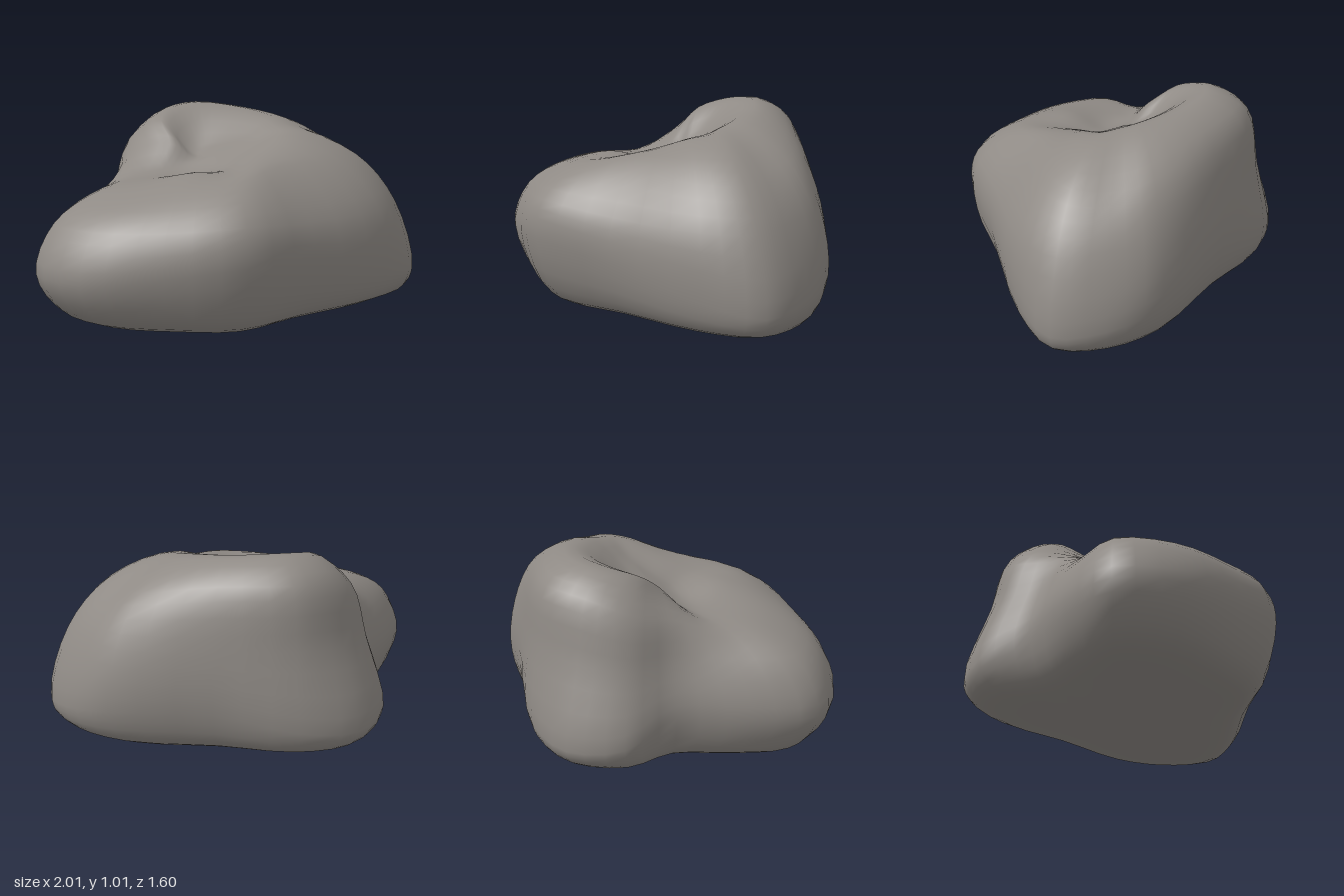
import * as THREE from 'three';
import { mergeVertices } from 'three/addons/utils/BufferGeometryUtils.js';

// Widest outline of the boulder, as [x, z] stations running anticlockwise from its right side
const OUTLINE = [
  [-1, 0.05], [-0.9, 0.38], [-0.58, 0.63], [-0.22, 0.8], [0.2, 0.7],
  [0.7, 0.59], [0.97, 0.44], [1, 0.18], [0.9, -0.1], [0.51, -0.44],
  [0.19, -0.72], [-0.1, -0.8], [-0.36, -0.67], [-0.47, -0.4], [-0.77, -0.19],
];
const all = (v) => OUTLINE.map(() => v);

// Cross-sections from the underside to the crown: outline scale and height at each station
const RINGS = [
  { s: all(0), y: all(0) },
  { s: all(0.5), y: all(0.015) },
  { // foot
    s: [0.85, 0.85, 0.85, 0.85, 0.88, 0.93, 0.95, 0.94, 0.9, 0.88, 0.9, 0.91, 0.9, 0.88, 0.85],
    y: all(0.07),
  },
  { // girth
    s: all(1),
    y: [0.29, 0.3, 0.35, 0.4, 0.33, 0.22, 0.17, 0.2, 0.25, 0.27, 0.2, 0.17, 0.2, 0.3, 0.3],
  },
  { // shoulder
    s: [0.9, 0.9, 0.93, 0.95, 0.95, 0.95, 0.9, 0.89, 0.94, 0.99, 0.93, 0.86, 0.86, 0.9, 0.88],
    y: [0.53, 0.54, 0.56, 0.59, 0.55, 0.54, 0.54, 0.57, 0.57, 0.59, 0.6, 0.58, 0.55, 0.55, 0.53],
  },
  { // upper slope
    s: [0.65, 0.65, 0.69, 0.68, 0.64, 0.71, 0.7, 0.71, 0.76, 0.86, 0.85, 0.75, 0.74, 0.76, 0.64],
    y: [0.67, 0.68, 0.71, 0.75, 0.79, 0.79, 0.79, 0.78, 0.82, 0.89, 0.91, 0.89, 0.82, 0.76, 0.68],
  },
  { // crown, with the peak at the back and the lower hump at the front
    s: [0.35, 0.37, 0.43, 0.42, 0.4, 0.41, 0.39, 0.38, 0.42, 0.56, 0.56, 0.5, 0.45, 0.38, 0.39],
    y: [0.71, 0.73, 0.765, 0.765, 0.82, 0.89, 0.915, 0.935, 0.96, 0.99, 1.01, 0.99, 0.94, 0.84, 0.72],
  },
  { // sloping dip between hump and peak
    s: all(0.18),
    y: OUTLINE.map(([x, z]) => 0.79 + 0.18 * (0.4 * x - 0.2 * z)),
  },
  { s: all(0), y: all(0.79) },
];

// Skin the cross-sections with smooth curves both around and upward
function loftRock(around, upward) {
  const loops = RINGS.map(({ s, y }) => new THREE.CatmullRomCurve3(
    OUTLINE.map(([x, z], i) => new THREE.Vector3(x * s[i], y[i], z * s[i])), true));
  const positions = [];
  const index = [];
  const row = upward + 1;
  for (let i = 0; i < around; i++) {
    const meridian = new THREE.CatmullRomCurve3(loops.map((loop) => loop.getPoint(i / around)));
    for (let j = 0; j <= upward; j++) {
      const p = meridian.getPoint(j / upward);
      positions.push(p.x, Math.max(0, p.y), p.z);
      const a = i * row + j;
      const b = ((i + 1) % around) * row + j;
      if (j > 0 && j < upward) index.push(a, b, b + 1);
      if (j < upward - 1) index.push(a, b + 1, a + 1);
    }
  }
  const geometry = new THREE.BufferGeometry();
  geometry.setAttribute('position', new THREE.Float32BufferAttribute(positions, 3));
  geometry.setIndex(index);
  const merged = mergeVertices(geometry, 1e-5);
  merged.computeVertexNormals();
  return merged;
}

export function createModel() {
  const stone = new THREE.MeshStandardMaterial({ color: 0x8f8a85 });
  stone.name = 'warm grey stone';
  const boulder = new THREE.Mesh(loftRock(45, 32), stone);
  boulder.name = 'boulder';
  const group = new THREE.Group();
  group.name = 'rock';
  group.add(boulder);
  return group;
}
